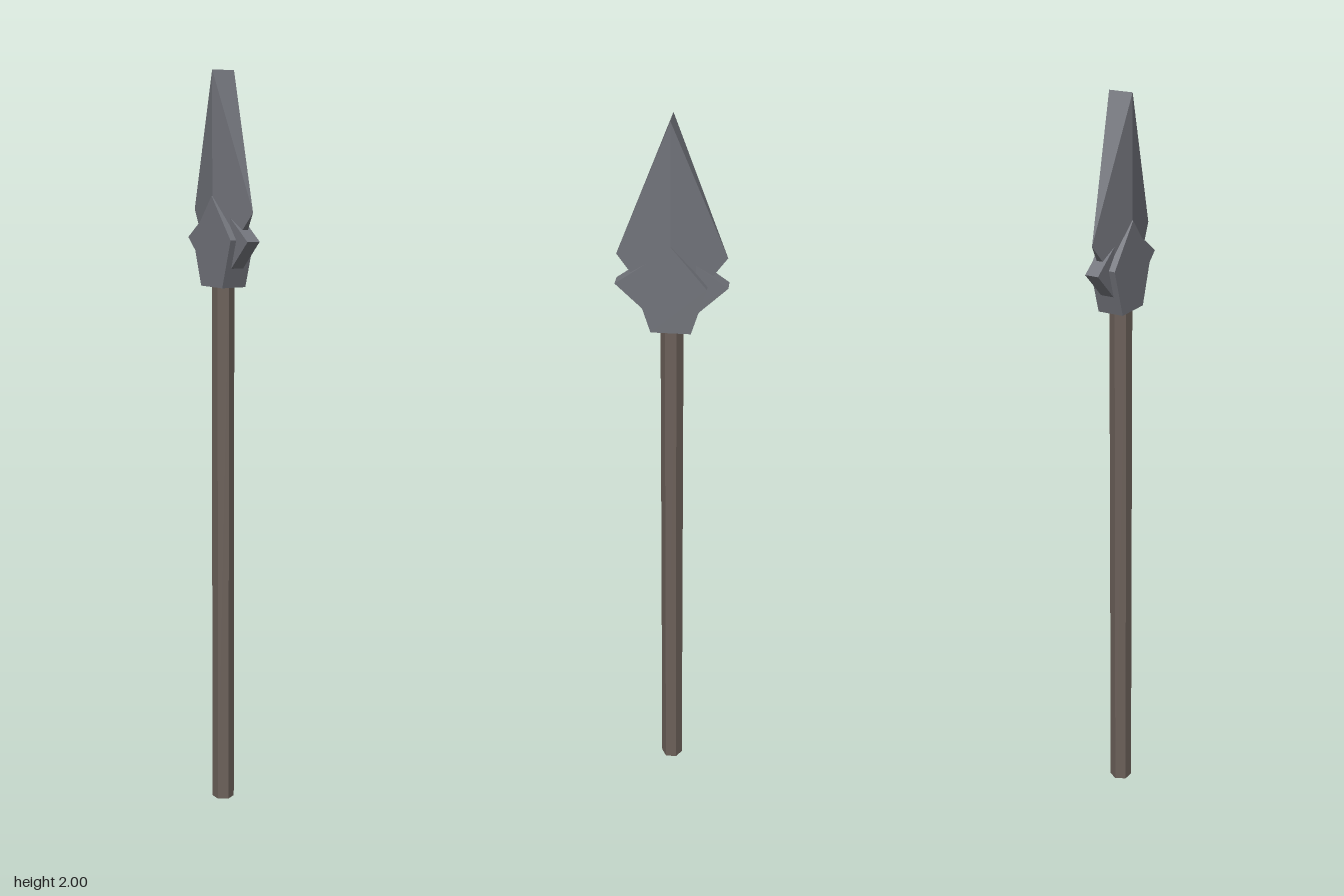
import * as THREE from 'three';
import { ConvexGeometry } from 'three/addons/geometries/ConvexGeometry.js';

const material = (name, color) => {
  const m = new THREE.MeshStandardMaterial({ color });
  m.name = name;
  return m;
};

// Flat plate from a mirrored half outline, centred on z = 0
function plate(half, depth) {
  const mirrored = half.filter(([x]) => x > 0).reverse().map(([x, y]) => [-x, y]);
  const outline = [...half, ...mirrored].map(([x, y]) => new THREE.Vector2(x, y));
  const geometry = new THREE.ExtrudeGeometry(new THREE.Shape(outline), { depth, bevelEnabled: false });
  return geometry.translate(0, 0, -depth / 2);
}

export function createModel() {
  const iron = material('iron', 0x71737a);
  const wood = material('wood', 0x6b6059);
  const model = new THREE.Group();
  model.name = 'spear';

  const add = (parent, name, geometry, mat) => {
    const mesh = new THREE.Mesh(geometry, mat);
    mesh.name = name;
    parent.add(mesh);
    return mesh;
  };

  // Six-sided shaft with a corner facing front
  const shaft = new THREE.CylinderGeometry(0.03, 0.03, 1.46, 6).toNonIndexed();
  shaft.computeVertexNormals();
  add(model, 'shaft', shaft, wood).position.y = 0.73;

  // Head turned about the shaft
  const head = new THREE.Group();
  head.name = 'head';
  head.rotation.y = THREE.MathUtils.degToRad(-28);
  model.add(head);

  // Blade: a ridge of constant depth, tapering to sharp side points
  const points = [];
  for (const s of [-1, 1]) {
    points.push(
      new THREE.Vector3(0, 2, s * 0.034),
      new THREE.Vector3(0, 1.455, s * 0.034),
      new THREE.Vector3(s * 0.142, 1.635, 0)
    );
  }
  add(head, 'blade', new ConvexGeometry(points), iron);

  // Thin guard with pointed ends, and the thick five-sided socket over it
  add(head, 'guard', plate([[0.03, 1.45], [0.145, 1.56], [0, 1.665]], 0.038), iron);
  add(head, 'socket', plate([[0.052, 1.435], [0.092, 1.562], [0, 1.675]], 0.073), iron);

  return model;
}
